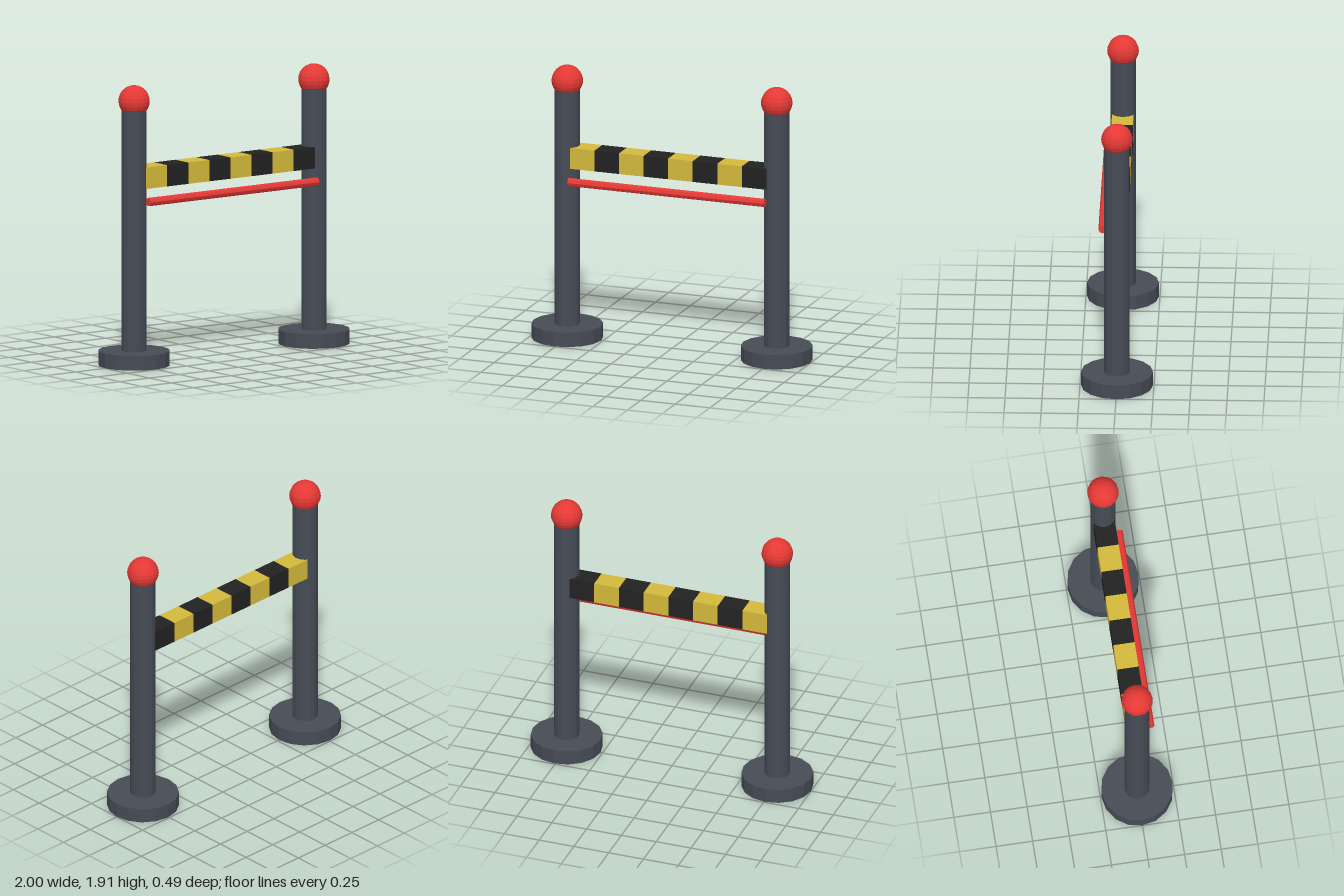
import * as THREE from 'three';

const material = (name, color) => {
  const m = new THREE.MeshStandardMaterial({ color, flatShading: true });
  m.name = name;
  return m;
};

export function createModel() {
  const grey = material('slate grey', 0x464b55);
  const red = material('signal red', 0xe53935);
  const yellow = material('warning yellow', 0xd4b93c);
  const black = material('black', 0x222222);

  const model = new THREE.Group();
  model.name = 'barrier';

  const add = (parent, name, geometry, mat, x, y, z) => {
    const mesh = new THREE.Mesh(geometry, mat);
    mesh.name = name;
    mesh.position.set(x, y, z);
    parent.add(mesh);
    return mesh;
  };

  // Two posts, each with a round foot and a ball on top
  const footShape = new THREE.CylinderGeometry(0.243, 0.243, 0.1, 16);
  const poleShape = new THREE.CylinderGeometry(0.086, 0.086, 1.65, 16);
  const ballShape = new THREE.SphereGeometry(0.107, 16, 12);
  for (const side of [-1, 1]) {
    const post = new THREE.Group();
    post.name = side > 0 ? 'leftPost' : 'rightPost';
    post.position.x = side * 0.757;
    add(post, 'foot', footShape, grey, 0, 0.05, 0);
    add(post, 'pole', poleShape, grey, 0, 0.925, 0);
    add(post, 'ball', ballShape, red, 0, 1.807, 0);
    model.add(post);
  }

  // Crossbeam made of alternating yellow and black blocks
  const beam = new THREE.Group();
  beam.name = 'crossbeam';
  const count = 8, length = 1.42, step = length / count;
  const blockShape = new THREE.BoxGeometry(step, 0.146, 0.146);
  for (let i = 0; i < count; i++) {
    const x = -length / 2 + (i + 0.5) * step;
    add(beam, 'stripeBlock', blockShape, i % 2 ? black : yellow, x, 1.282, 0);
  }
  model.add(beam);

  // Thin rail in front, below the beam
  const rail = add(model, 'rail', new THREE.CylinderGeometry(0.029, 0.029, length, 8), red, 0, 1.123, 0.098);
  rail.rotation.z = Math.PI / 2;

  return model;
}
